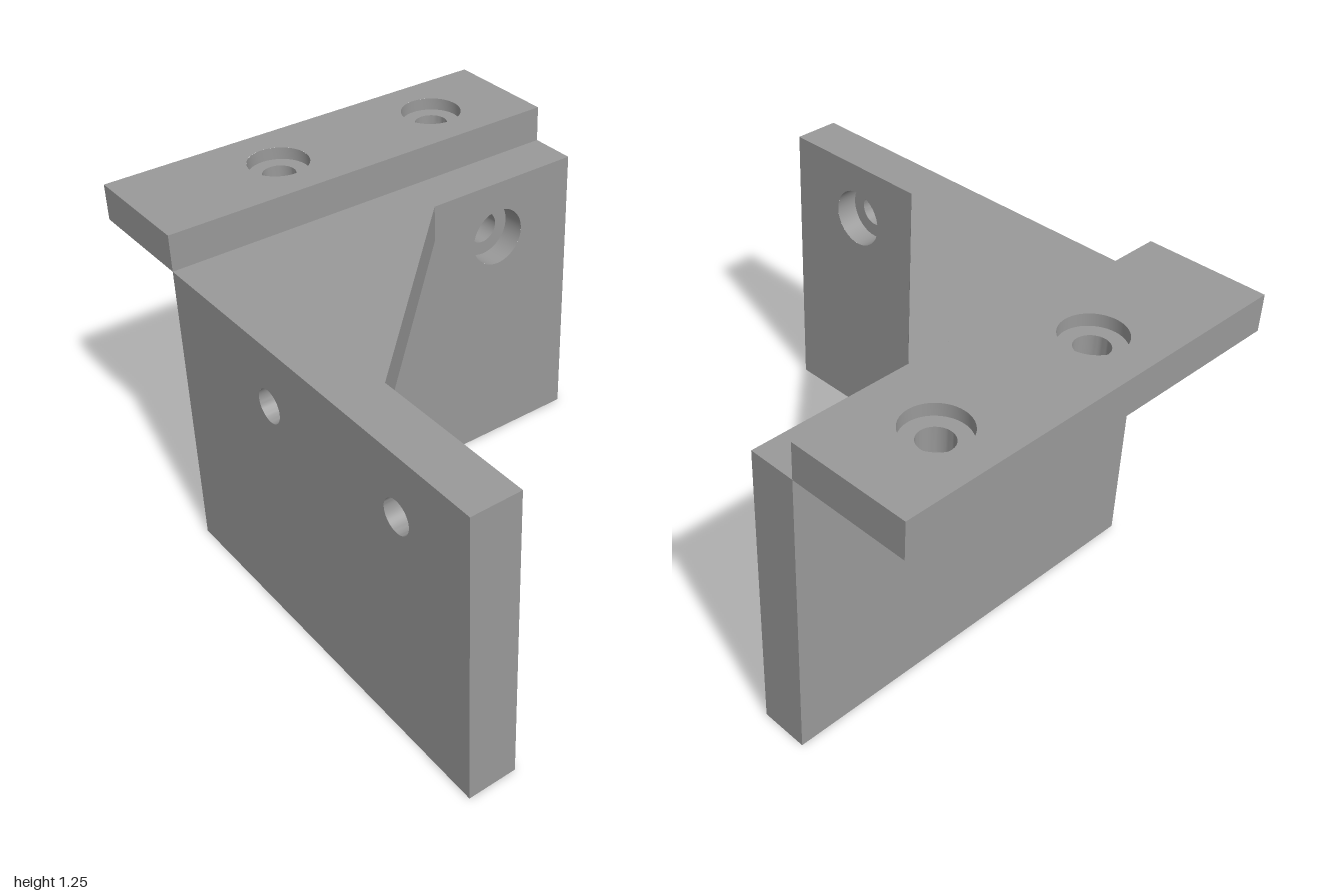
import * as THREE from 'three';
import { mergeGeometries, toCreasedNormals } from 'three/addons/utils/BufferGeometryUtils.js';

const grey = new THREE.MeshStandardMaterial({ color: 0x999999 });
grey.name = 'plain grey';

const HOLE = 0.06, BORE = 0.111, SEGMENTS = 48;

// Rectangular face centred on the origin, pierced by round holes
function piercedFace(w, h, holes, radius) {
  const shape = new THREE.Shape([
    new THREE.Vector2(-w / 2, -h / 2), new THREE.Vector2(w / 2, -h / 2),
    new THREE.Vector2(w / 2, h / 2), new THREE.Vector2(-w / 2, h / 2),
  ]);
  for (const [x, y] of holes) {
    shape.holes.push(new THREE.Path().absarc(x, y, radius, 0, Math.PI * 2, true));
  }
  return new THREE.ShapeGeometry(shape, SEGMENTS).toNonIndexed();
}

// Plate with counterbored holes: front face at z = 0, back face at z = -t
function panel(name, w, h, t, boreDepth, holes) {
  const rim = new THREE.BoxGeometry(w, h, t).translate(0, 0, -t / 2);
  rim.setIndex(Array.from(rim.index.array).slice(0, 24)); // only the four edge faces
  const mirrored = holes.map(([x, y]) => [-x, y]);
  const parts = [
    rim.toNonIndexed(),
    piercedFace(w, h, holes, BORE),
    piercedFace(w, h, mirrored, HOLE).rotateY(Math.PI).translate(0, 0, -t),
  ];
  // Counterbore, ledge and through hole
  const profile = [[BORE, 0], [BORE, -boreDepth], [HOLE, -boreDepth], [HOLE, -t]]
    .map(([r, y]) => new THREE.Vector2(r, y));
  for (const [x, y] of holes) {
    const bore = new THREE.LatheGeometry(profile, SEGMENTS).rotateX(Math.PI / 2).translate(x, y, 0);
    parts.push(toCreasedNormals(bore, 0.6));
  }
  const mesh = new THREE.Mesh(mergeGeometries(parts), grey);
  mesh.name = name;
  return mesh;
}

export function createModel() {
  const group = new THREE.Group();
  group.name = 'cornerBracket';

  const backWall = panel('backWall', 1.556, 1.111, 0.178, 0.089, [[-0.222, 0.333], [0.444, 0.333]]);
  backWall.position.set(0, 0.5555, -0.378);

  const sideWall = panel('sideWall', 1.378, 1.111, 0.178, 0.089, [[-0.356, 0.333], [0.311, 0.333]]);
  sideWall.rotation.y = Math.PI / 2;
  sideWall.position.set(-0.6, 0.5555, 0.311);

  const topFlange = panel('topFlange', 1.556, 0.444, 0.134, 0.045, [[-0.222, 0], [0.444, 0]]);
  topFlange.rotation.x = -Math.PI / 2;
  topFlange.position.set(0, 1.245, -0.778);

  group.add(backWall, sideWall, topFlange);

  // Triangular gussets joining the two walls at bottom and top
  const triangle = new THREE.Shape([
    new THREE.Vector2(-0.6, 0.378), new THREE.Vector2(-0.6, -0.378), new THREE.Vector2(0.156, 0.378),
  ]);
  const gussetGeometry = new THREE.ExtrudeGeometry(triangle, { depth: 0.134, bevelEnabled: false })
    .rotateX(-Math.PI / 2);
  for (const [name, y] of [['bottomGusset', 0], ['topGusset', 0.977]]) {
    const gusset = new THREE.Mesh(gussetGeometry, grey);
    gusset.name = name;
    gusset.position.y = y;
    group.add(gusset);
  }
  return group;
}
